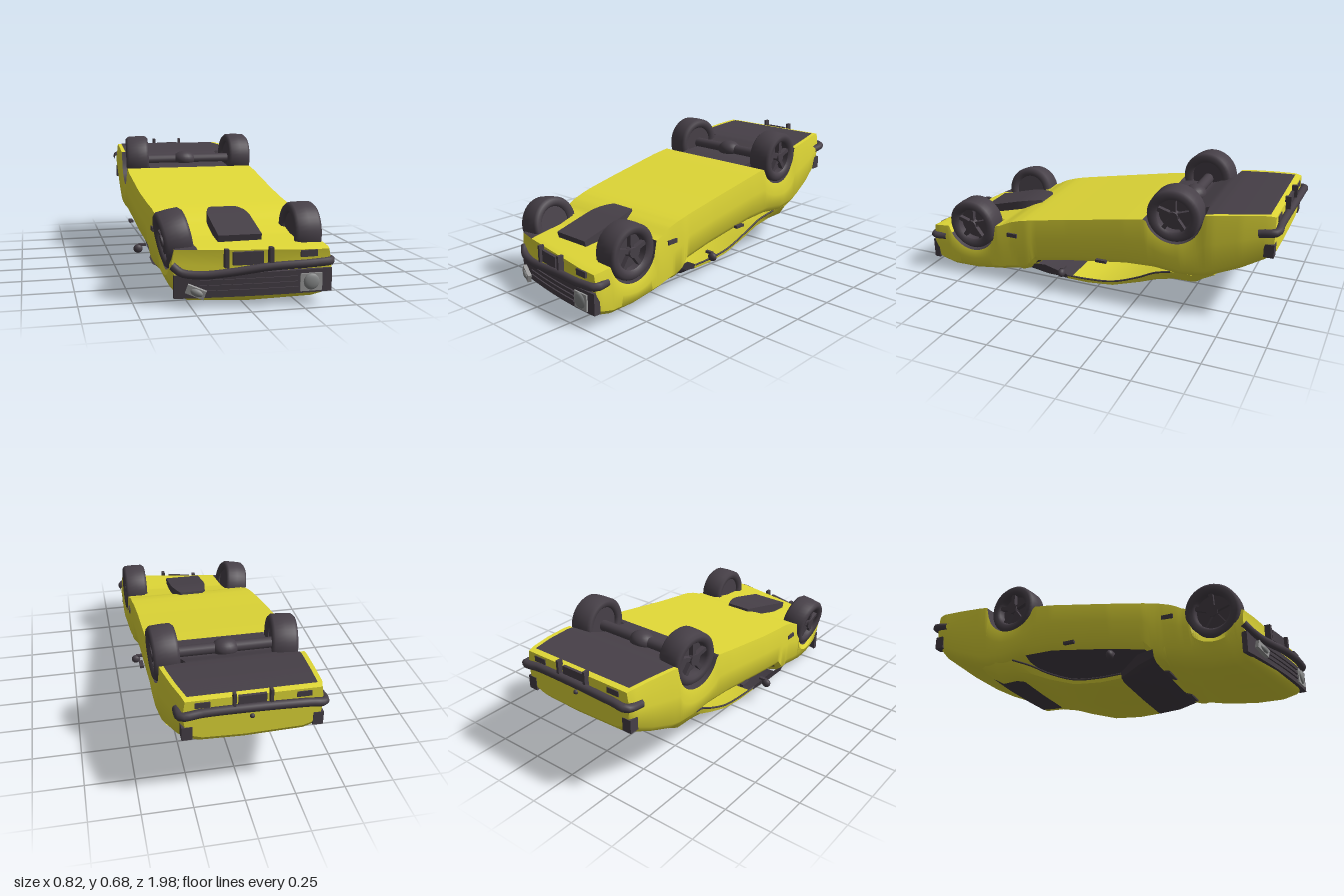
import * as THREE from 'three';
import { toCreasedNormals } from 'three/addons/utils/BufferGeometryUtils.js';

const mat = (name, color, side = THREE.FrontSide) => {
  const m = new THREE.MeshStandardMaterial({ color, side });
  m.name = name;
  return m;
};

// Piecewise linear lookup in rows sorted by falling z
function sample(rows, z) {
  let i = 0;
  while (i < rows.length - 2 && z < rows[i + 1][0]) i++;
  const a = rows[i], b = rows[i + 1];
  const t = THREE.MathUtils.clamp((a[0] - z) / (a[0] - b[0]), 0, 1);
  return a.map((v, k) => v + (b[k] - v) * t);
}

// Crash damage: the nose is pushed back and tilted on its -x side
const skew = (x, z) => {
  const t = Math.max(0, (z - 0.5) / 0.47);
  return z - t * 0.13 * Math.pow(Math.max(0, (0.4 - x) / 0.72), 1.5);
};
function dent(geo) {
  const p = geo.attributes.position;
  for (let i = 0; i < p.count; i++) {
    p.setZ(i, skew(p.getX(i), p.getZ(i)));
    p.setY(i, p.getY(i) + (p.getX(i) - 0.3) * 0.045);
  }
  geo.computeVertexNormals();
  return geo;
}

function fromTriangles(list) {
  const g = new THREE.BufferGeometry();
  g.setAttribute('position', new THREE.Float32BufferAttribute(list.flat(), 3));
  return toCreasedNormals(g, 0.65);
}

// Joins rings; pick(z, k) names the colour list of each face
function loft(rings, closed, pick) {
  const out = { paint: [], dark: [] };
  const n = rings[0].length;
  for (let i = 0; i < rings.length - 1; i++) {
    for (let k = 0; k < (closed ? n : n - 1); k++) {
      const k2 = (k + 1) % n;
      const a = rings[i][k], b = rings[i][k2], c = rings[i + 1][k2], d = rings[i + 1][k];
      out[pick((a[2] + d[2]) / 2, k)].push(a, b, c, a, c, d);
    }
  }
  if (closed) {
    [[rings[0], false], [rings[rings.length - 1], true]].forEach(([r, back]) => {
      const c = [0, 1, 2].map(j => r.reduce((s, p) => s + p[j], 0) / n);
      r.forEach((p, k) => {
        const q = r[(k + 1) % n];
        out.paint.push(c, ...(back ? [p, q] : [q, p]));
      });
    });
  }
  return out;
}

// Body rows: z, left edge x, right edge x, underside y, deck y
const BODY = [
  [0.955, -0.33, 0.39, 0.26, 0.05], [0.93, -0.33, 0.395, 0.265, 0.02], [0.85, -0.335, 0.395, 0.272, 0],
  [0.7, -0.345, 0.395, 0.285, 0.003], [0.53, -0.35, 0.39, 0.325, 0.025], [0.46, -0.355, 0.385, 0.357, 0.04],
  [0.4, -0.36, 0.385, 0.375, 0.05], [0.36, -0.365, 0.385, 0.383, 0.065], [0.32, -0.37, 0.38, 0.39, 0.115],
  [0.13, -0.385, 0.375, 0.422, 0.15], [-0.2, -0.395, 0.375, 0.482, 0.2], [-0.36, -0.39, 0.37, 0.507, 0.205],
  [-0.5, -0.385, 0.37, 0.517, 0.19], [-0.6, -0.385, 0.36, 0.56, 0.197], [-0.66, -0.385, 0.355, 0.57, 0.212],
  [-0.8, -0.38, 0.33, 0.583, 0.268], [-0.92, -0.375, 0.3, 0.59, 0.33], [-0.955, -0.365, 0.29, 0.585, 0.37],
];

// Roof rows: z, half width, y, rail half width, rail y
const ROOF = [
  [0.17, 0.25, 0.016, 0.288, 0.05], [0.05, 0.25, 0.013, 0.285, 0.05], [-0.1, 0.25, 0.028, 0.285, 0.066],
  [-0.25, 0.25, 0.077, 0.295, 0.125], [-0.35, 0.25, 0.115, 0.31, 0.18], [-0.45, 0.255, 0.14, 0.34, 0.22],
  [-0.56, 0.25, 0.143, 0.345, 0.225], [-0.67, 0.24, 0.212, 0.33, 0.25],
];

// Wheels: x, y, z, lean, yaw; arch z is measured before the dent
const WHEELS = [
  { name: 'frontLeftWheel', x: 0.322, y: 0.3, z: 0.71, lean: 0, yaw: 0 },
  { name: 'frontRightWheel', x: -0.295, y: 0.283, z: 0.68, lean: 0.2, yaw: 0.03, archZ: 0.74 },
  { name: 'rearLeftWheel', x: 0.305, y: 0.54, z: -0.46, lean: -0.03, yaw: 0.04 },
  { name: 'rearRightWheel', x: -0.299, y: 0.535, z: -0.46, lean: 0.03, yaw: -0.11 },
];

function bodyRing(z) {
  const [, L, R, u, b] = sample(BODY, z);
  const half = (edge, s) => {
    let arch = u;
    WHEELS.filter(w => Math.sign(w.x) === s).forEach(w => {
      const d = z - (w.archZ ?? w.z), r = 0.15;
      if (Math.abs(d) < r) arch = Math.min(arch, w.y - Math.sqrt(r * r - d * d));
    });
    // The bonnet edge is folded differently on each side
    const [h4, h5, h6] = z < 0.42 ? [0.06, 0.025, 0.008] : s > 0 ? [0.055, 0.03, 0.018] : [0.085, 0.035, 0.003];
    const shoulder = Math.min(b + h4, arch - 0.01);
    const inner = edge - s * (z < -0.62 ? 0.035 : z > 0 ? 0.115 : 0.145);
    return [[inner, u], [inner, arch], [edge - s * 0.012, arch], [edge, (arch + shoulder) / 2],
      [edge - s * 0.012, shoulder], [edge - s * 0.04, b + h5], [edge - s * 0.09, b + h6]];
  };
  const pts = [...half(R, 1), [0, b], ...half(L, -1).reverse()];
  return pts.map(([x, y]) => [x, y, skew(x, z)]);
}

export function createModel() {
  const car = new THREE.Group();
  car.name = 'overturnedCar';
  const paint = mat('yellowPaint', 0xe2da37);
  const shell = mat('yellowShell', 0xe2da37, THREE.DoubleSide);
  const dark = mat('darkTrim', 0x474048);
  const glass = mat('darkGlass', 0x443d45, THREE.DoubleSide);
  const chrome = mat('lampFrame', 0x9c9c9c);
  const lens = mat('lampLens', 0x858787);

  const add = (name, geo, m, x = 0, y = 0, z = 0, parent = car) => {
    const mesh = new THREE.Mesh(geo, m);
    mesh.name = name;
    mesh.position.set(x, y, z);
    parent.add(mesh);
    return mesh;
  };
  const box = (name, w, h, d, x, y, z) => add(name, new THREE.BoxGeometry(w, h, d), dark, x, y, z);
  // Nose part that follows the dent
  const nosePart = (name, w, h, d, x, y, z, m = dark) =>
    add(name, dent(new THREE.BoxGeometry(w, h, d, 14).translate(x, y, z)), m);
  const tube = (name, pts, r) => add(name, new THREE.TubeGeometry(
    new THREE.CatmullRomCurve3(pts.map(p => new THREE.Vector3(...p))), 40, r, 10), dark);

  // Body: dark rear underside, rear wheel wells and cabin floor
  const rings = [];
  for (let i = 0; i <= 120; i++) rings.push(bodyRing(0.955 - 1.91 * i / 120));
  const body = loft(rings, true, (z, k) => {
    const well = k < 2 || k === 12 || k === 13;
    const isDark = (k === 14 && z < -0.3 && z > -0.925) || (well && z < -0.3 && z > -0.62)
      || ((k === 1 || k === 12) && Math.abs(z - 0.7) < 0.14)
      || (k > 4 && k < 9 && z < 0.33 && z > -0.36);
    return isDark ? 'dark' : 'paint';
  });
  add('bodyShell', fromTriangles(body.paint), paint);
  add('underbodyAndCabinFloor', fromTriangles(body.dark), dark);

  // Cabin strips in the row format of the roof
  const strip = (name, rows, m, lower = 0, shift = -0.005) => {
    const r = rows.map(([z, w, y, W, Y]) => [[W, Y], [(w + W) / 2 + 0.012, y * 0.65 + Y * 0.35], [w, y], [0, y - 0.004],
      [-w, y], [-(w + W) / 2 - 0.012, y * 0.65 + Y * 0.35], [-W, Y]].map(([x, yy]) => [x + shift, yy - lower, z]));
    add(name, fromTriangles(loft(r, false, () => 'paint').paint), m);
  };
  strip('roof', ROOF, shell);
  strip('windscreen', [[0.37, 0.3, 0.066, 0.355, 0.12], [0.28, 0.285, 0.036, 0.335, 0.115],
    [0.17, 0.25, 0.015, 0.29, 0.055]], glass);
  strip('rearWindow', [[-0.43, 0.2, 0.136, 0.21, 0.136], [-0.47, 0.215, 0.141, 0.23, 0.142],
    [-0.56, 0.205, 0.143, 0.22, 0.144], [-0.64, 0.18, 0.193, 0.19, 0.194], [-0.66, 0.16, 0.206, 0.17, 0.206]], glass, 0.006, -0.02);
  [1, -1].forEach(s => tube('windowTrim', ROOF.slice(0, 6).map(([z, , , W, Y]) => [s * W - 0.005, Y, z]), 0.005));
  [-0.16, 0.18].forEach(x => box('cowlVent', 0.11, 0.008, 0.03, x, 0.054, 0.39).rotation.x = 0.25);

  // Wheels with five-spoke rims
  const tyre = new THREE.LatheGeometry([[0.088, -0.05], [0.1, -0.063], [0.125, -0.065], [0.138, -0.05], [0.14, 0],
    [0.138, 0.05], [0.125, 0.065], [0.1, 0.063], [0.088, 0.05], [0.086, 0], [0.088, -0.05]]
    .map(p => new THREE.Vector2(...p)), 40).rotateZ(Math.PI / 2);
  const disc = new THREE.CylinderGeometry(0.09, 0.09, 0.06, 28).rotateZ(Math.PI / 2);
  const hub = new THREE.CylinderGeometry(0.025, 0.03, 0.03, 16).rotateZ(-Math.PI / 2);
  WHEELS.forEach(w => {
    const g = new THREE.Group();
    g.name = w.name;
    g.position.set(w.x, w.y, w.z);
    g.rotation.set(0, w.yaw, w.lean);
    const s = Math.sign(w.x);
    add('tyre', tyre, dark, 0, 0, 0, g);
    add('rimBack', disc, dark, -s * 0.015, 0, 0, g);
    add('hub', hub, dark, s * 0.045, 0, 0, g);
    for (let i = 0; i < 5; i++) {
      const spoke = add('spoke', new THREE.BoxGeometry(0.025, 0.075, 0.022).translate(0, 0.055, 0), dark, s * 0.038, 0, 0, g);
      spoke.rotation.x = i * Math.PI * 2 / 5;
    }
    car.add(g);
  });

  // Rear axle, differential and rounded engine guard
  add('rearAxle', new THREE.CylinderGeometry(0.03, 0.03, 0.52, 16).rotateZ(Math.PI / 2), dark, 0, 0.53, -0.46);
  add('differential', new THREE.SphereGeometry(0.065, 20, 14).scale(1.05, 0.75, 0.9), dark, -0.01, 0.53, -0.46);
  const guard = new THREE.BoxGeometry(0.21, 0.05, 0.36, 4, 1, 10);
  const gp = guard.attributes.position;
  for (let i = 0; i < gp.count; i++) {
    const t = Math.max(0, -gp.getZ(i) - 0.03) / 0.15;
    gp.setX(i, gp.getX(i) * (1 - 0.35 * t * t));
    gp.setY(i, gp.getY(i) - 0.018 * t * t);
  }
  add('engineGuard', toCreasedNormals(guard, 0.65), dark, 0.005, 0.328, 0.6).rotation.x = 0.26;

  // Nose: grille, lamps, bumper, plate
  nosePart('grille', 0.71, 0.108, 0.035, 0.033, 0.116, 0.95);
  for (let i = 0; i < 3; i++) nosePart('grilleSlat', 0.44, 0.008, 0.012, 0.01, 0.092 + i * 0.025, 0.97);
  nosePart('headlampFrame', 0.1, 0.082, 0.02, 0.29, 0.113, 0.966, chrome);
  const lamp = new THREE.SphereGeometry(0.038, 24, 12).scale(1, 1, 0.35);
  add('headlamp', lamp, lens, 0.29, 0.115, 0.968);
  const broken = new THREE.Group();
  broken.name = 'brokenHeadlamp';
  broken.position.set(-0.23, 0.075, 0.885);
  broken.rotation.set(0, -0.35, -0.35);
  add('bentFrame', new THREE.BoxGeometry(0.09, 0.042, 0.02), chrome, 0, 0, 0, broken);
  add('bentLamp', lamp, lens, 0.005, 0, 0.008, broken).scale.set(0.8, 0.45, 1);
  car.add(broken);
  tube('frontBumper', [[0.38, 0.205, 0.88], [0.387, 0.205, 0.955], [0.3, 0.2, 0.972], [0.1, 0.187, 0.975],
    [-0.08, 0.16, 0.975], [-0.2, 0.148, 0.975], [-0.29, 0.157, 0.97], [-0.325, 0.185, 0.95]]
    .map(([x, y, z]) => [x, y, skew(x, z)]), 0.02);
  nosePart('frontPlate', 0.135, 0.06, 0.02, 0.005, 0.239, 0.965);
  [-0.09, 0.108].forEach(x => nosePart('bumperGuard', 0.018, 0.085, 0.035, x, 0.242, 0.965));
  nosePart('frontTurnSignal', 0.075, 0.03, 0.012, 0.283, 0.243, 0.957);

  // Tail: bumper, guards, plate, lamps
  tube('rearBumper', [[0.305, 0.5, -0.88], [0.298, 0.515, -0.965], [0.2, 0.525, -0.968], [-0.05, 0.53, -0.975],
    [-0.28, 0.525, -0.978], [-0.362, 0.515, -0.97], [-0.37, 0.5, -0.88]], 0.021);
  [-0.113, 0.057].forEach(x => box('rearGuard', 0.014, 0.1, 0.03, x, 0.565, -0.965));
  box('rearPlate', 0.13, 0.06, 0.015, -0.028, 0.56, -0.958);
  [-0.27, 0.2].forEach(x => box('reverseLamp', 0.07, 0.028, 0.01, x, 0.56, -0.955));
  [-0.345, 0.271].forEach(x => box('tailLamp', 0.05, 0.07, 0.05, x, 0.41, -0.933));
  add('trunkLock', new THREE.SphereGeometry(0.012, 12, 8), dark, -0.03, 0.47, -0.957);

  // Sides: mirrors, door handles, side markers
  [1, -1].forEach(s => {
    add('mirror', new THREE.SphereGeometry(0.028, 16, 12).scale(0.9, 0.85, 0.7), dark, s * 0.387, 0.12, 0.15);
    box('mirrorArm', 0.04, 0.012, 0.018, s * 0.365, 0.14, 0.15);
    box('doorHandle', 0.02, 0.014, 0.06, s > 0 ? 0.378 : -0.394, 0.23, -0.08);
    box('sideMarker', 0.009, 0.022, 0.06, s > 0 ? 0.384 : -0.355, 0.285, 0.45);
  });
  return car;
}
